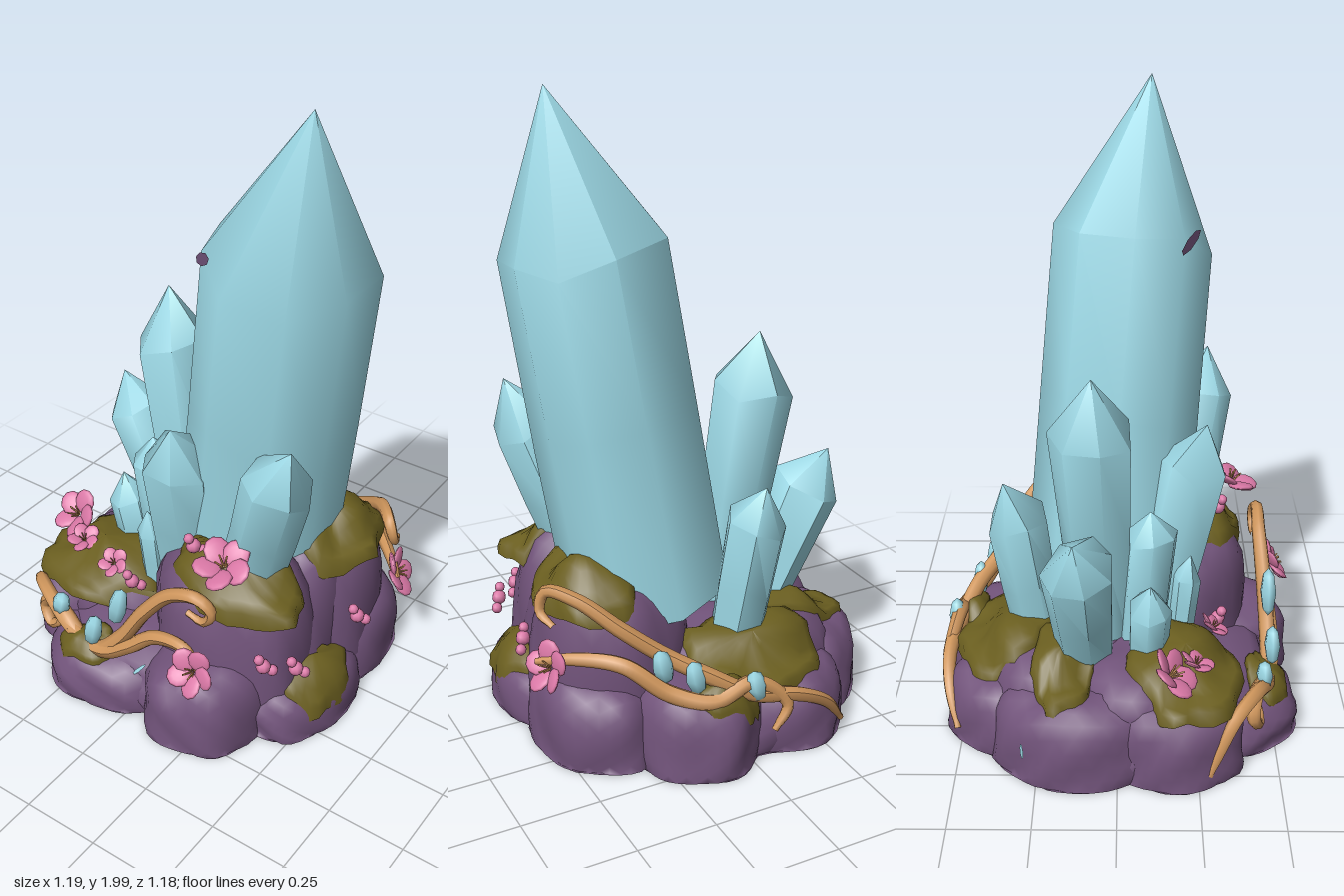
import * as THREE from 'three';
import { mergeVertices, toCreasedNormals } from 'three/addons/utils/BufferGeometryUtils.js';

const V = (x, y, z) => new THREE.Vector3(x, y, z);
const paint = (name, color, side = THREE.FrontSide) => {
  const m = new THREE.MeshStandardMaterial({ color, side });
  m.name = name;
  return m;
};
let seed = 7;
const rand = () => (seed = (seed * 16807) % 2147483647) / 2147483647;
const jit = (a) => (rand() * 2 - 1) * a;

// Skin a list of closed rings (arrays of Vector3)
function loft(rings) {
  const n = rings[0].length, index = [];
  for (let j = 0; j < rings.length - 1; j++)
    for (let i = 0; i < n; i++) {
      const a = j * n + i, b = j * n + (i + 1) % n;
      index.push(a, b, a + n);
      if (rings[j + 1][0].distanceTo(rings[j + 1][1]) > 1e-6) index.push(b, b + n, a + n);
    }
  const g = new THREE.BufferGeometry().setFromPoints(rings.flat());
  g.setIndex(index);
  g.computeVertexNormals();
  return g;
}

// Softly faceted crystal: prism from base to shoulder, then a point
function crystalGeometry(base, shoulder, tip, rBase, rTop, sides) {
  const axis = shoulder.clone().sub(base).normalize();
  const u = V(1, 0, 0).addScaledVector(axis, -axis.x).normalize();
  const v = axis.clone().cross(u);
  const spin = rand() * 2, wob = Array.from({ length: sides }, () => jit(0.16));
  const ring = (t, r, lift) => Array.from({ length: sides }, (_, i) => {
    const a = spin + wob[i] + i / sides * Math.PI * 2, k = r * (1 + jit(0.03));
    return base.clone().lerp(shoulder, t).addScaledVector(u, Math.cos(a) * k)
      .addScaledVector(v, Math.sin(a) * k).addScaledVector(axis, jit(lift));
  });
  const point = Array.from({ length: sides }, () => tip.clone());
  return toCreasedNormals(loft([ring(0, rBase, 0), ring(0.5, (rBase + rTop) / 2, rTop * 0.3),
    ring(1, rTop, rTop * 0.24), point]), 0.95);
}

// Flat-bottomed lumpy boulder
function boulderGeometry(x, z, rx, rz, top) {
  let g = new THREE.IcosahedronGeometry(1, 6);
  g.deleteAttribute('uv');
  g.deleteAttribute('normal');
  g = mergeVertices(g);
  const p = g.attributes.position, s = x * 9 + z * 5;
  for (let i = 0; i < p.count; i++) {
    const d = V().fromBufferAttribute(p, i), h = Math.hypot(d.x, d.z);
    const k = 1 / Math.pow(h ** 4 + d.y ** 4, 0.25);
    const lump = 1 + 0.045 * Math.sin(5 * d.x + s) * Math.cos(4 * d.z - s)
      + 0.025 * Math.sin(9 * d.y + 6 * d.x - 7 * d.z + s);
    d.multiplyScalar(k * lump);
    p.setXYZ(i, x + d.x * rx, Math.max(0.01, 0.01 + d.y * (top - 0.01)), z + d.z * rz);
  }
  g.computeVertexNormals();
  return g;
}

// Tapered tube through points
function vineGeometry(points, r) {
  const curve = new THREE.CatmullRomCurve3(points.map((p) => V(...p)));
  const n = 64, sides = 7, g = new THREE.TubeGeometry(curve, n, r, sides);
  const p = g.attributes.position;
  for (let j = 0; j <= n; j++) {
    const c = curve.getPointAt(j / n), f = Math.max(0.05, Math.sin(Math.PI * j / n)) ** 0.3;
    for (let i = 0; i <= sides; i++) {
      const k = j * (sides + 1) + i, q = V().fromBufferAttribute(p, k).sub(c).multiplyScalar(f).add(c);
      p.setXYZ(k, q.x, q.y, q.z);
    }
  }
  g.computeVertexNormals();
  return g;
}

export function createModel() {
  seed = 7;
  const model = new THREE.Group();
  const crystalMat = paint('pale blue crystal', 0x9cd8e5);
  const rockMat = paint('purple rock', 0x71537a);
  const mossMat = paint('olive moss', 0x6b5f20, THREE.DoubleSide);
  const vineMat = paint('tan vine', 0xcf965c);
  const pinkMat = paint('pink blossom', 0xda78a6);
  const add = (name, geo, mat, parent = model) => {
    const m = new THREE.Mesh(geo, mat);
    m.name = name;
    parent.add(m);
    return m;
  };

  // Rocks: x, z, radius x, radius z, top
  const rocks = [
    [0, 0, 0.52, 0.51, 0.24], [-0.15, 0.36, 0.25, 0.22, 0.17], [0.21, 0.37, 0.2, 0.21, 0.26],
    [0.41, 0.14, 0.17, 0.24, 0.18], [0.36, -0.16, 0.2, 0.25, 0.26], [0.12, -0.38, 0.2, 0.2, 0.27],
    [-0.18, -0.33, 0.23, 0.22, 0.24], [-0.38, -0.1, 0.2, 0.28, 0.27], [-0.4, 0.17, 0.18, 0.22, 0.27],
    [-0.25, 0.1, 0.29, 0.27, 0.33], [-0.1, -0.18, 0.35, 0.27, 0.34],
    [0.2, 0.21, 0.28, 0.22, 0.565], [0.28, -0.09, 0.25, 0.26, 0.56], [0.23, 0.06, 0.26, 0.25, 0.545],
  ].map((r) => add('rock', boulderGeometry(...r), rockMat));

  // Moss draped over the rocks: x, z, radius x, radius z, highest y
  const ray = new THREE.Raycaster();
  const ground = (x, z, y) => {
    ray.set(V(x, y, z), V(0, -1, 0));
    const hit = ray.intersectObjects(rocks, false)[0];
    return hit ? hit.point.y : -1;
  };
  for (const [x, z, rx, rz, maxY] of [
    [-0.33, 0.21, 0.24, 0.18, 1], [-0.33, -0.17, 0.2, 0.1, 1], [-0.09, -0.36, 0.23, 0.165, 1],
    [0.26, 0.28, 0.23, 0.13, 1], [0.365, -0.11, 0.16, 0.21, 1], [0.47, 0.16, 0.11, 0.15, 0.25],
    [-0.2, 0.48, 0.11, 0.07, 0.25], [0.08, -0.5, 0.11, 0.06, 0.4],
  ]) {
    const n = 28, cy = ground(x, z, maxY);
    const edge = Array.from({ length: n }, (_, i) => 1 + 0.05 * Math.sin(i * 1.35 + x * 20) + jit(0.05));
    const rings = [0, 0.25, 0.5, 0.7, 0.85, 0.96, 1].map((t, j) => edge.map((e, i) => {
      const a = i / n * Math.PI * 2, px = x + Math.cos(a) * rx * t * e, pz = z + Math.sin(a) * rz * t * e;
      const y = THREE.MathUtils.clamp(ground(px, pz, maxY), cy - 0.07, cy + 0.04) + 0.01 + 0.04 * (1 - t * t);
      return V(px, y - (j === 6 ? 0.02 + rand() * 0.03 : 0), pz);
    }));
    add('moss', loft(rings), mossMat);
  }

  // Crystals: base, shoulder, tip, base radius, shoulder radius, sides
  const crystals = [
    [[0.12, 0.4, -0.04], [0.28, 1.52, 0.047], [0.37, 2, 0.1], 0.268, 0.257, 9],
    [[-0.13, 0.3, -0.05], [-0.235, 1.04, -0.08], [-0.26, 1.23, -0.08], 0.095, 0.13, 7],
    [[-0.25, 0.3, -0.1], [-0.425, 0.69, -0.12], [-0.5, 0.81, -0.13], 0.09, 0.115, 7],
    [[-0.08, 0.28, -0.26], [-0.12, 0.7, -0.32], [-0.13, 0.83, -0.36], 0.085, 0.095, 7],
    [[-0.27, 0.28, 0.09], [-0.31, 0.49, 0.1], [-0.33, 0.58, 0.1], 0.06, 0.07, 7],
    [[-0.16, 0.28, 0.07], [-0.185, 0.68, 0.1], [-0.2, 0.77, 0.1], 0.075, 0.083, 7],
    [[-0.03, 0.35, 0.13], [-0.005, 0.83, 0.23], [0.01, 0.97, 0.28], 0.105, 0.117, 7],
    [[-0.12, 0.28, 0.2], [-0.125, 0.5, 0.22], [-0.13, 0.58, 0.23], 0.04, 0.045, 6],
    [[0.24, 0.45, 0.18], [0.395, 0.92, 0.265], [0.455, 1.07, 0.3], 0.105, 0.115, 7],
  ].map(([b, s, t, ...rest]) => add('crystal', crystalGeometry(V(...b), V(...s), V(...t), ...rest), crystalMat));

  // Flecks laid on a surface: ray start, ray direction, targets, colour, half sizes, turn
  for (const [from, dir, targets, mat, w, h, turn] of [
    [V(0.095, 1.54, 2), V(0, 0, -1), [crystals[0]], rockMat, 0.06, 0.02, 0.45],
    [V(0.015, 0.16, 2), V(0, 0, -1), rocks, crystalMat, 0.035, 0.006, 0.9],
    [V(-1.47, 0.12, -0.81), V(1, 0, 0.55).normalize(), rocks, crystalMat, 0.006, 0.03, 0],
  ]) {
    ray.set(from, dir);
    const hit = ray.intersectObjects(targets, false)[0];
    if (!hit) continue;
    const fleck = add('fleck', new THREE.CircleGeometry(1, 7), mat);
    fleck.position.copy(hit.point).addScaledVector(hit.face.normal, 0.005);
    fleck.lookAt(fleck.position.clone().add(hit.face.normal));
    fleck.rotateZ(turn);
    fleck.scale.set(w, h, 1);
  }

  // Vines wrapping the front and the back
  const vines = [
    [[0.2, 0.48, 0.46], [0.26, 0.47, 0.46], [0.29, 0.52, 0.46], [0.25, 0.56, 0.47], [0.15, 0.53, 0.47], [0.05, 0.42, 0.48],
      [-0.04, 0.28, 0.49], [-0.15, 0.18, 0.49], [-0.28, 0.2, 0.47], [-0.4, 0.25, 0.43], [-0.5, 0.22, 0.36], [-0.55, 0.05, 0.28]],
    [[0.29, 0.32, 0.52], [0.22, 0.37, 0.5], [0.1, 0.35, 0.49], [0, 0.27, 0.5], [-0.1, 0.2, 0.5], [-0.22, 0.18, 0.48], [-0.3, 0.22, 0.46],
      [-0.38, 0.23, 0.43], [-0.43, 0.18, 0.42], [-0.39, 0.13, 0.44], [-0.35, 0.16, 0.44], [-0.37, 0.19, 0.43]],
    [[0.53, 0.47, -0.25], [0.55, 0.5, -0.19], [0.53, 0.56, -0.19], [0.46, 0.55, -0.27], [0.36, 0.47, -0.35], [0.24, 0.38, -0.41],
      [0.13, 0.32, -0.48], [0, 0.25, -0.53], [-0.14, 0.22, -0.55], [-0.25, 0.16, -0.54], [-0.33, 0.06, -0.51]],
    [[0.57, 0.34, -0.2], [0.48, 0.37, -0.29], [0.37, 0.37, -0.39], [0.25, 0.28, -0.46], [0.13, 0.25, -0.52], [0, 0.29, -0.53],
      [-0.1, 0.2, -0.56], [-0.05, 0.13, -0.57]],
  ];
  vines.forEach((p) => add('vine', vineGeometry(p, 0.027), vineMat));

  // Crystal shards held by the vines
  for (const [x, y, z, h] of [[-0.32, 0.26, 0.46, 0.045], [-0.15, 0.26, 0.5, 0.065], [-0.05, 0.4, 0.49, 0.08],
    [0, 0.28, -0.54, 0.055], [0.17, 0.32, -0.475, 0.06], [0.26, 0.36, -0.435, 0.06]]) {
    const shard = add('shard', new THREE.SphereGeometry(1, 6, 4), crystalMat);
    shard.position.set(x, y, z);
    shard.scale.set(0.034, h, 0.028);
    shard.rotation.z = -0.25;
  }

  // Five-petalled blossoms: position, facing direction, size
  for (const [pos, dir, s] of [
    [[-0.49, 0.37, 0.16], [-0.2, 0.7, 0.7], 1], [[-0.4, 0.35, 0.24], [0.1, 1, 0.4], 0.65],
    [[-0.22, 0.37, 0.3], [0.1, 0.8, 0.6], 0.6], [[0.28, 0.64, 0.38], [0.1, 0.9, 0.45], 1.05],
    [[0.27, 0.33, 0.53], [0.1, 0.5, 1], 0.9], [[0.54, 0.33, -0.24], [1, 0.5, -0.3], 0.95]]) {
    const flower = new THREE.Group();
    flower.name = 'blossom';
    for (let i = 0; i < 5; i++) {
      const arm = new THREE.Group();
      arm.name = 'petalArm';
      arm.rotation.y = i / 5 * Math.PI * 2;
      const petal = add('petal', new THREE.SphereGeometry(1, 10, 6), pinkMat, arm);
      petal.position.set(0.048, 0.012, 0);
      petal.scale.set(0.044, 0.011, 0.041);
      petal.rotation.set(0.25, 0, 0.35);
      const stamen = add('stamen', new THREE.CylinderGeometry(0.003, 0.003, 0.04, 5), vineMat, arm);
      stamen.position.set(0.012, 0.02, 0);
      stamen.rotation.z = -0.4;
      flower.add(arm);
    }
    flower.position.set(...pos);
    flower.quaternion.setFromUnitVectors(V(0, 1, 0), V(...dir).normalize());
    flower.scale.setScalar(s);
    model.add(flower);
  }

  // Bud clusters
  for (const [x, y, z] of [[0.13, 0.62, 0.33], [0.42, 0.31, 0.37], [0.5, 0.3, 0.31], [0.535, 0.31, 0], [-0.13, 0.35, 0.32]])
    for (const [dx, dy, r] of [[0, 0, 0.024], [0.025, -0.025, 0.018], [-0.012, 0.03, 0.017]])
      add('bud', new THREE.SphereGeometry(r, 8, 6), pinkMat).position.set(x + dx * 0.7, y + dy, z - dx);

  return model;
}
